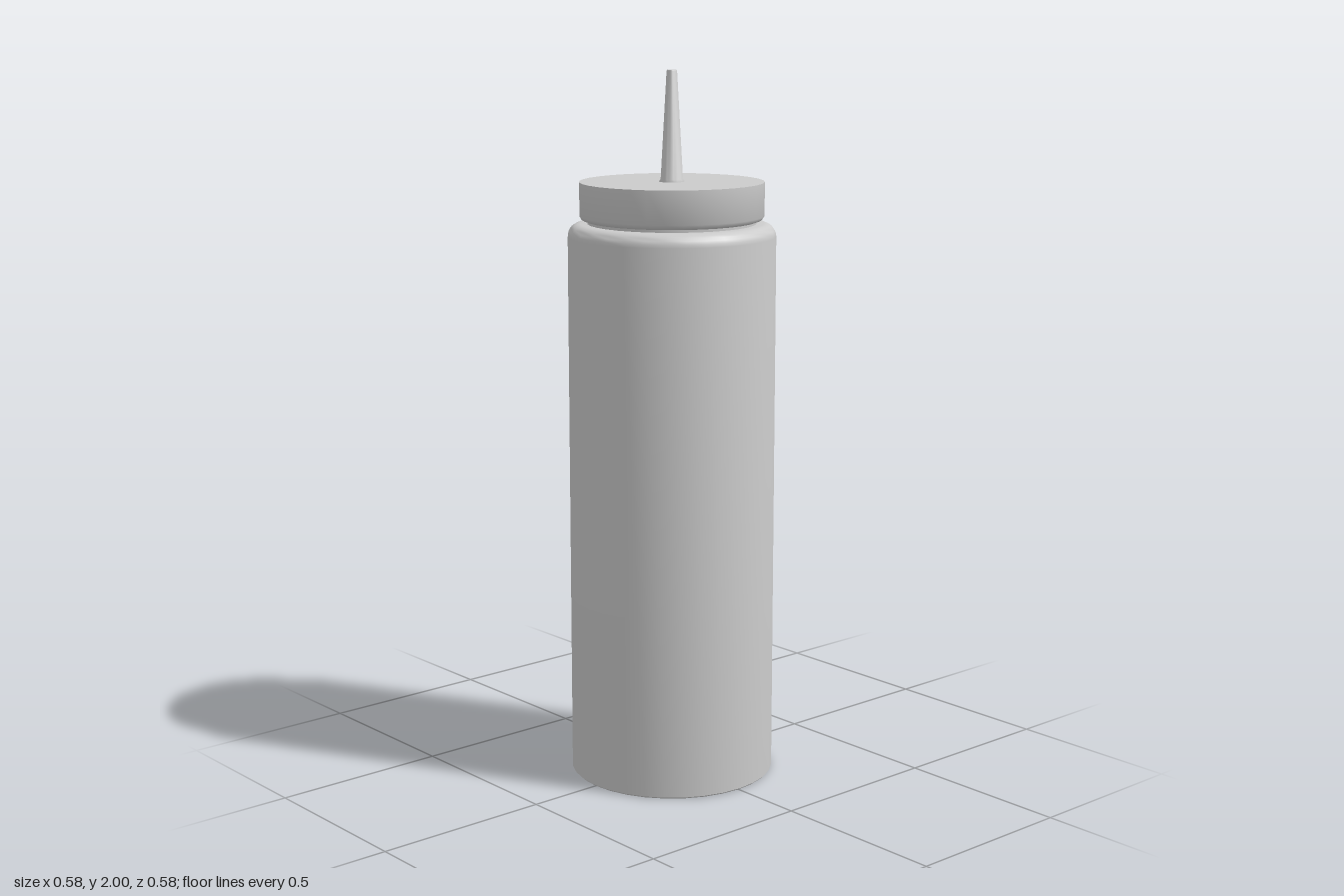
import * as THREE from 'three';
import { toCreasedNormals } from 'three/addons/utils/BufferGeometryUtils.js';

const material = new THREE.MeshStandardMaterial({ color: 0xcccccc });

// Turned part from [radius, height] pairs, listed from bottom to top
function turned(name, profile, segments = 32) {
  const points = profile.map(([r, y]) => new THREE.Vector2(r, y));
  const geometry = toCreasedNormals(new THREE.LatheGeometry(points, segments), 0.7);
  const mesh = new THREE.Mesh(geometry, material);
  mesh.name = name;
  return mesh;
}

export function createModel() {
  const group = new THREE.Group();
  group.name = 'squeezeBottle';

  // Straight body with a rounded shoulder leading to a short neck
  const shoulder = [];
  for (let i = 0; i <= 6; i++) {
    const a = (i / 6) * Math.PI / 2;
    shoulder.push([0.255 + 0.035 * Math.cos(a), 1.545 + 0.035 * Math.sin(a)]);
  }
  group.add(turned('body', [
    [0, 0], [0.286, 0], [0.29, 0.004], ...shoulder,
    [0.235, 1.58], [0.235, 1.6], [0, 1.6],
  ]));

  // Flat screw lid with a small rounded lower edge
  group.add(turned('lid', [
    [0, 1.588], [0.24, 1.588], [0.251, 1.592], [0.257, 1.602],
    [0.257, 1.695], [0, 1.695],
  ]));

  // Tapered nozzle with a small foot
  group.add(turned('nozzle', [
    [0, 1.69], [0.035, 1.69], [0.035, 1.696], [0.031, 1.702],
    [0.0145, 1.997], [0.013, 2], [0, 2],
  ]));

  return group;
}
